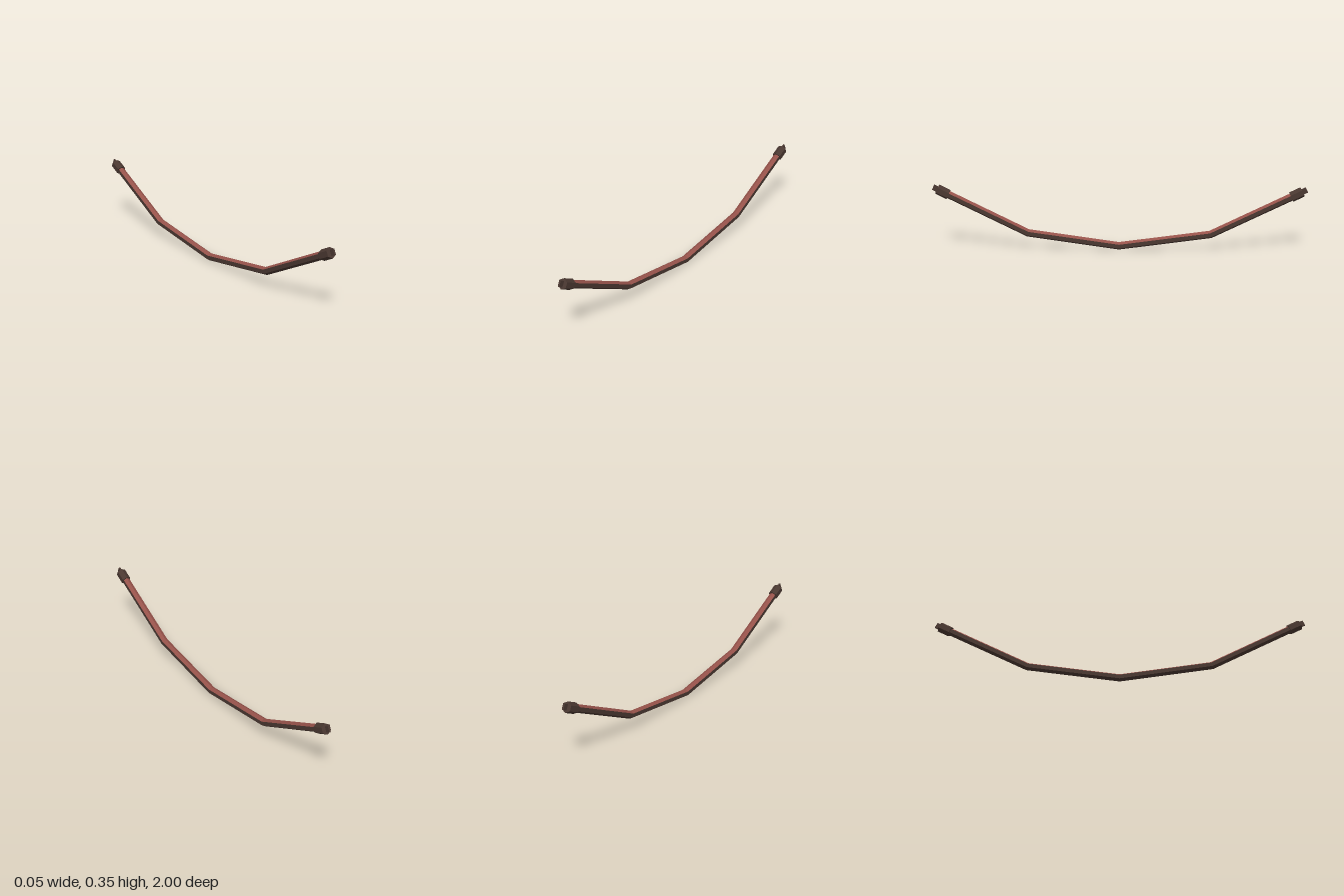
import * as THREE from 'three';

const red = new THREE.MeshStandardMaterial({ color: 0x96524a, flatShading: true });
red.name = 'faded red';
const brown = new THREE.MeshStandardMaterial({ color: 0x4a3831, flatShading: true });
brown.name = 'dark brown';

// Six-sided tube along a path of [z, y] points; red on the two upper faces
function hexTube(path, radius) {
  const pts = path.map(([z, y]) => new THREE.Vector2(z, y));
  const rings = pts.map((p, i) => {
    const a = pts[Math.max(i - 1, 0)], b = pts[Math.min(i + 1, pts.length - 1)];
    const t = b.clone().sub(a).normalize();
    return Array.from({ length: 6 }, (_, k) => {
      const angle = k * Math.PI / 3, up = Math.cos(angle) * radius;
      return [Math.sin(angle) * radius, p.y + t.x * up, p.x - t.y * up];
    });
  });
  const positions = [];
  const geometry = new THREE.BufferGeometry();
  const addFaces = (faces, material) => {
    const start = positions.length / 3;
    for (let i = 0; i < rings.length - 1; i++) {
      for (const k of faces) {
        const n = (k + 1) % 6;
        const a = rings[i][k], b = rings[i][n], c = rings[i + 1][n], d = rings[i + 1][k];
        positions.push(...a, ...d, ...c, ...a, ...c, ...b);
      }
    }
    geometry.addGroup(start, positions.length / 3 - start, material);
  };
  addFaces([0, 5], 0);
  addFaces([1, 2, 3, 4], 1);
  geometry.setAttribute('position', new THREE.Float32BufferAttribute(positions, 3));
  geometry.computeVertexNormals();
  return geometry;
}

function createEnd(slope) {
  const end = new THREE.Group();
  // Hexagonal collar, one corner pointing up
  const collar = new THREE.Mesh(new THREE.CylinderGeometry(0.028, 0.028, 0.066, 6), brown);
  collar.name = 'collar';
  collar.rotation.x = Math.PI / 2;
  end.add(collar);
  // Thin lug standing out of the collar
  const lug = new THREE.Mesh(new THREE.BoxGeometry(0.009, 0.03, 0.045), brown);
  lug.name = 'lug';
  lug.position.z = 0.035;
  end.add(lug);
  end.position.set(0, 0.313, 0.942);
  end.rotation.x = -slope;
  return end;
}

export function createModel() {
  const model = new THREE.Group();
  model.name = 'hangingStrap';

  // Sagging strap in four straight lengths
  const path = [[-0.95, 0.317], [-0.49, 0.09], [0, 0.022], [0.49, 0.09], [0.95, 0.317]];
  const strap = new THREE.Mesh(hexTube(path, 0.021), [red, brown]);
  strap.name = 'strap';
  model.add(strap);

  // Matching fittings at both ends
  const slope = Math.atan2(0.227, 0.46);
  for (const name of ['frontEnd', 'backEnd']) {
    const side = new THREE.Group();
    side.name = name;
    side.add(createEnd(slope));
    if (name === 'backEnd') side.rotation.y = Math.PI;
    model.add(side);
  }
  return model;
}
